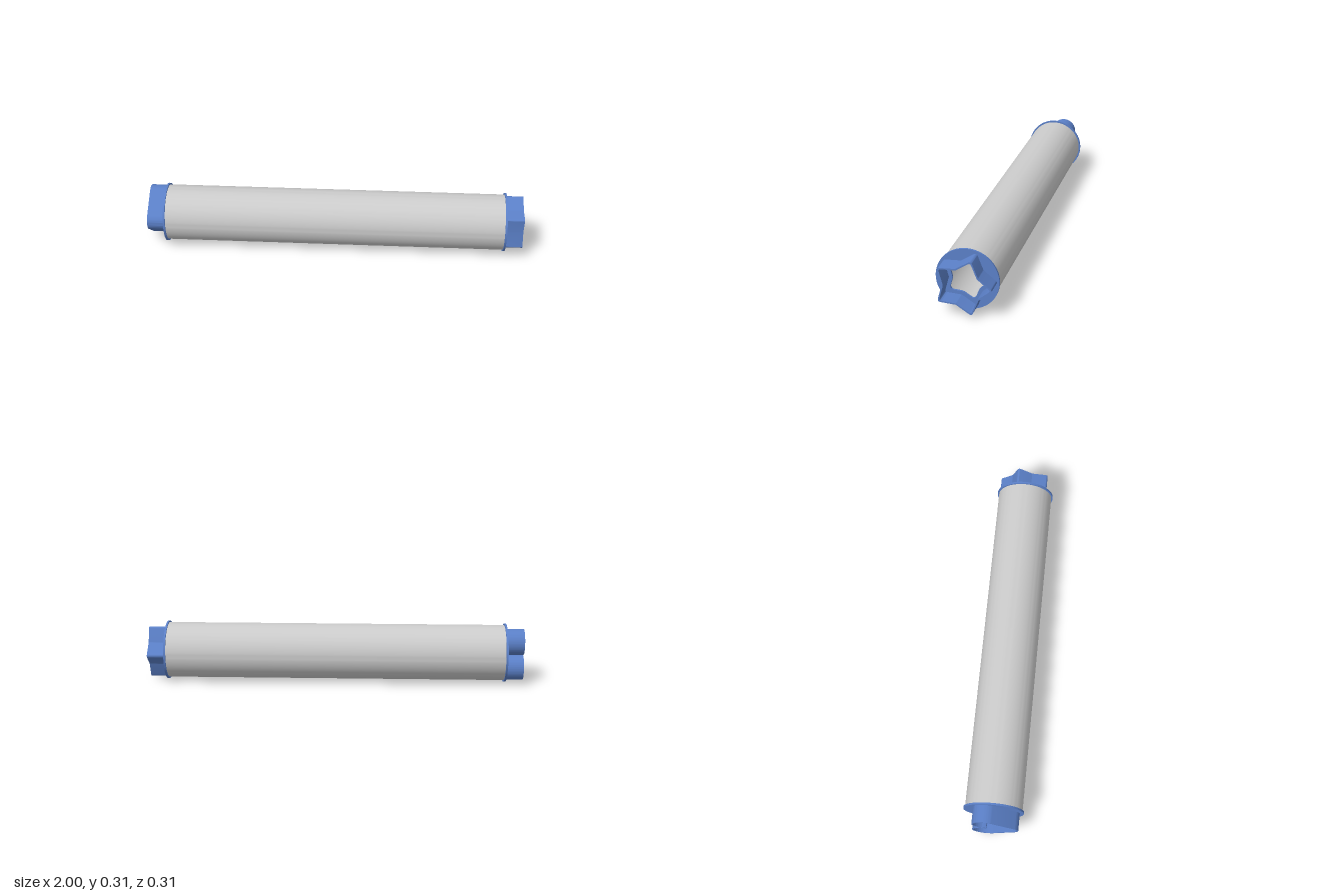
import * as THREE from 'three';
import { toCreasedNormals } from 'three/addons/utils/BufferGeometryUtils.js';

const AXIS_Y = 0.156, FLANGE_R = 0.156, TUBE_R = 0.148;
const FLANGE_IN = 0.9, FLANGE_OUT = 0.91, END = 1;
const WALL = 0.007, LEDGE = 0.025;

// Five-pointed star with softened corners, moved inwards by d
function starPath(d, tipCut, notchCut) {
  const pts = [];
  for (let i = 0; i < 10; i++) {
    const r = i % 2 ? 0.098 - d / 0.966 : 0.15 - d / 0.63;
    const a = i * Math.PI / 5;
    pts.push(new THREE.Vector2(r * Math.cos(a), r * Math.sin(a)));
  }
  const shape = new THREE.Shape();
  pts.forEach((p, i) => {
    const cut = i % 2 ? notchCut : tipCut;
    const toward = q => p.clone().add(q.clone().sub(p).setLength(cut));
    const a = toward(pts[(i + 9) % 10]), b = toward(pts[(i + 1) % 10]);
    if (i === 0) shape.moveTo(a.x, a.y); else shape.lineTo(a.x, a.y);
    shape.quadraticCurveTo(p.x, p.y, b.x, b.y);
  });
  shape.closePath();
  return shape;
}

// Heart from two lobe arcs and a rounded tip, moved inwards by d
function heartPath(d) {
  const cx = -0.034, cy = 0.069, R = 0.069, tipX = 0.08, tipR = 0.055;
  const t = Math.PI / 2 - Math.atan2(cy, tipX - cx) - Math.asin((R - tipR) / Math.hypot(cy, tipX - cx));
  const shape = new THREE.Shape();
  shape.absarc(tipX, 0, tipR - d, -t, t, false);
  shape.absarc(cx, cy, R - d, t, Math.PI * 1.5, false);
  if (d > 0) shape.absarc(cx, 0, d, Math.PI / 2, -Math.PI / 2, true);
  shape.absarc(cx, -cy, R - d, Math.PI / 2, 2 * Math.PI - t, false);
  shape.closePath();
  return shape;
}

// Plate along the tube axis, from x = from to x = to, with one hole
function plate(outline, hole, from, to, side, material, name) {
  outline.holes.push(hole);
  const raw = new THREE.ExtrudeGeometry(outline, { depth: to - from, bevelEnabled: false, curveSegments: 24 });
  raw.translate(0, 0, from);
  raw.rotateY(side * Math.PI / 2);
  const mesh = new THREE.Mesh(toCreasedNormals(raw, 0.5), material);
  mesh.name = name;
  return mesh;
}

// End cap: round flange with a shaped opening and a raised thin collar
function endCap(side, outer, inner, opening, material, name) {
  const cap = new THREE.Group();
  cap.name = name;
  const disc = new THREE.Shape();
  for (let i = 0; i < 96; i++) {
    const a = i * Math.PI / 48, x = FLANGE_R * Math.cos(a), y = FLANGE_R * Math.sin(a);
    if (i) disc.lineTo(x, y); else disc.moveTo(x, y);
  }
  disc.closePath();
  cap.add(
    plate(disc, opening, FLANGE_IN, FLANGE_OUT, side, material, name + 'Flange'),
    plate(outer, inner, FLANGE_OUT - 0.002, END, side, material, name + 'Collar')
  );
  return cap;
}

export function createModel() {
  const grey = new THREE.MeshStandardMaterial({ color: 0xcccccc });
  const blue = new THREE.MeshStandardMaterial({ color: 0x5b80c8 });
  const model = new THREE.Group();
  model.name = 'cartridge';

  // Hollow tube body
  const profile = [[0.138, -0.9], [TUBE_R, -0.9], [TUBE_R, 0.9], [0.138, 0.9], [0.138, -0.9]]
    .map(([r, y]) => new THREE.Vector2(r, y));
  const tubeGeo = toCreasedNormals(new THREE.LatheGeometry(profile, 96), 0.5);
  tubeGeo.rotateZ(-Math.PI / 2);
  const tube = new THREE.Mesh(tubeGeo, grey);
  tube.name = 'tubeBody';
  model.add(tube);

  // Star cap at +x, heart cap at -x
  model.add(
    endCap(1, starPath(0, 0.018, 0.003), starPath(WALL, 0.014, 0.004), starPath(LEDGE, 0.025, 0.014), blue, 'starCap'),
    endCap(-1, heartPath(0), heartPath(WALL), heartPath(LEDGE), blue, 'heartCap')
  );
  model.children.forEach(part => { part.position.y = AXIS_Y; });
  return model;
}
